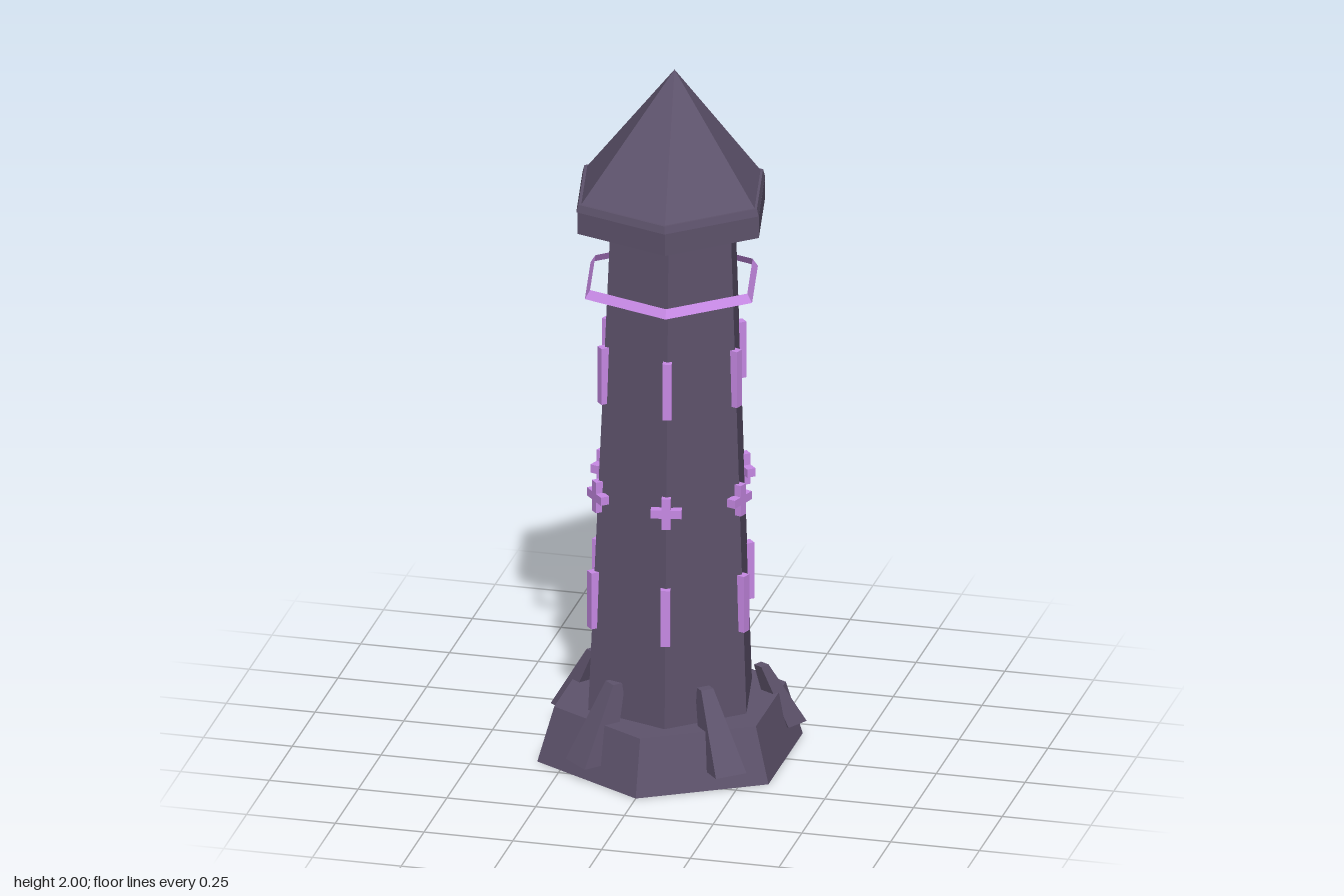
import * as THREE from 'three';

const TURN = THREE.MathUtils.degToRad(11); // twist of the hexagonal shaft
const stone = new THREE.MeshStandardMaterial({ color: 0x5e536c });
stone.name = 'dusky stone';
const glow = new THREE.MeshStandardMaterial({ color: 0xc88ae6, side: THREE.DoubleSide });
glow.name = 'lilac trim';

// Gives every face its own flat normal
function flat(geometry) {
  const g = geometry.index ? geometry.toNonIndexed() : geometry;
  g.computeVertexNormals();
  return g;
}

function addMesh(parent, name, geometry, material) {
  const mesh = new THREE.Mesh(flat(geometry), material);
  mesh.name = name;
  parent.add(mesh);
  return mesh;
}

// Tapered prism between two levels; its axis runs from bottom [x, z] to top [x, z]
function prism(sides, rBottom, rTop, y0, y1, turn, bottom = [0, 0], top = bottom, open = false) {
  const g = new THREE.CylinderGeometry(rTop, rBottom, y1 - y0, sides, 1, open, turn);
  const p = g.attributes.position;
  for (let i = 0; i < p.count; i++) {
    const t = p.getY(i) / (y1 - y0) + 0.5;
    p.setXYZ(i,
      p.getX(i) + THREE.MathUtils.lerp(bottom[0], top[0], t),
      THREE.MathUtils.lerp(y0, y1, t),
      p.getZ(i) + THREE.MathUtils.lerp(bottom[1], top[1], t));
  }
  return g;
}

// Shaft radius and axis at a given height
const shaftRadius = (y) => THREE.MathUtils.mapLinear(y, 0.15, 1.58, 0.25, 0.19);
const shaftOffset = (y) => THREE.MathUtils.mapLinear(y, 0.15, 1.58, 0, 0.01);

export function createModel() {
  const tower = new THREE.Group();
  tower.name = 'tower';

  // Plinth, shaft and roof
  addMesh(tower, 'plinth', prism(6, 0.376, 0.328, 0, 0.157, 0), stone);
  addMesh(tower, 'shaft', prism(6, 0.25, 0.19, 0.15, 1.58, TURN, [0, 0], [0.01, 0.01]), stone);
  addMesh(tower, 'cornice', prism(6, 0.286, 0.286, 1.573, 1.637, TURN, [0.005, 0.005]), stone);
  addMesh(tower, 'eaves', prism(6, 0.288, 0.282, 1.637, 1.658, TURN, [0.003, 0.005]), stone);
  addMesh(tower, 'roof', prism(6, 0.275, 0, 1.656, 2, TURN, [0.004, 0.006], [0.01, -0.01]), stone);

  // Floating band around the shaft
  addMesh(tower, 'band', prism(6, 0.264, 0.248, 1.376, 1.4, TURN, [0.005, 0.005], undefined, true), glow);

  // Slits and crosses on each of the six corners: [name, centre height, width, height]
  const marks = [
    ['upperSlit', 1.143, 0.025, 0.165],
    ['crossUpright', 0.787, 0.025, 0.09],
    ['crossBar', 0.787, 0.085, 0.024],
    ['lowerSlit', 0.483, 0.027, 0.165],
  ];
  for (let i = 0; i < 6; i++) {
    const angle = TURN + i * Math.PI / 3;
    for (const [name, y, w, h] of marks) {
      const mark = addMesh(tower, name, new THREE.BoxGeometry(w, h, 0.025), glow);
      const r = shaftRadius(y);
      const o = shaftOffset(y);
      mark.position.set(o + Math.sin(angle) * r, y, o + Math.cos(angle) * r);
      mark.rotation.y = angle;
    }
  }

  // Leaning boulders: bottom [x, z], top [x, z], bottom radius, bottom y, top y, yaw in degrees
  const boulders = [
    [[-0.158, 0.262], [-0.105, 0.19], 0.068, 0.05, 0.26, -43],
    [[0.212, 0.238], [0.14, 0.17], 0.066, 0.05, 0.26, 41],
    [[0.302, -0.122], [0.235, -0.085], 0.05, 0.06, 0.235, 60],
    [[-0.302, -0.066], [-0.225, -0.04], 0.05, 0.07, 0.25, 52],
    [[-0.01, -0.315], [-0.02, -0.235], 0.045, 0.07, 0.235, 35],
  ];
  for (const [bottom, top, r, y0, y1, yaw] of boulders) {
    const turn = THREE.MathUtils.degToRad(yaw + 45);
    addMesh(tower, 'boulder', prism(4, r, r * 0.4, y0, y1, turn, bottom, top), stone);
  }

  return tower;
}
